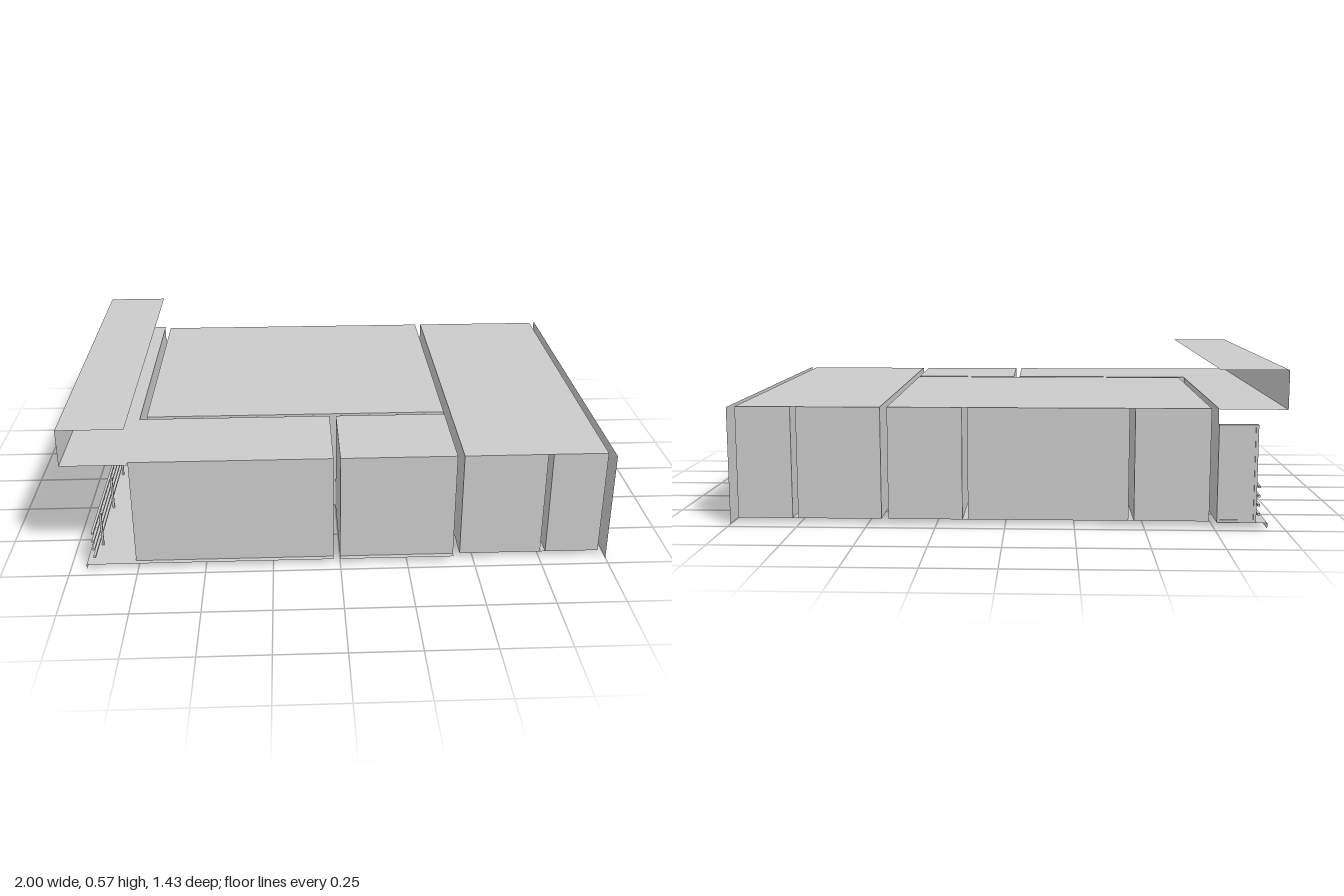
import * as THREE from 'three';

const mat = new THREE.MeshStandardMaterial({ color: 0xcccccc, side: THREE.DoubleSide, flatShading: true });
const FLOOR = 0.02, ROOF = 0.43;

// Thin sheet [a0,a1,b0,b1] with rectangular holes, perpendicular to an axis at a position.
// axis x: (a,b) = (z,y); axis y: (a,b) = (x,z); axis z: (a,b) = (x,y)
function sheet(parent, name, axis, pos, rect, holes = []) {
  const outline = (Type, [a0, a1, b0, b1]) => {
    const p = new Type();
    p.moveTo(a0, b0); p.lineTo(a1, b0); p.lineTo(a1, b1); p.lineTo(a0, b1); p.closePath();
    return p;
  };
  const shape = outline(THREE.Shape, rect);
  shape.holes = holes.map(h => outline(THREE.Path, h));
  const g = new THREE.ShapeGeometry(shape);
  if (axis === 'x') g.rotateY(-Math.PI / 2).translate(pos, 0, 0);
  else if (axis === 'y') g.rotateX(Math.PI / 2).translate(0, pos, 0);
  else g.translate(0, 0, pos);
  const m = new THREE.Mesh(g, mat);
  m.name = name;
  parent.add(m);
}

function box(parent, name, x0, x1, y0, y1, z0, z1) {
  const g = new THREE.BoxGeometry(x1 - x0, y1 - y0, z1 - z0);
  g.translate((x0 + x1) / 2, (y0 + y1) / 2, (z0 + z1) / 2);
  const m = new THREE.Mesh(g, mat);
  m.name = name;
  parent.add(m);
}

// Wall along x, interrupted by narrow slots
function slottedWall(parent, name, z, x0, x1, slots, holes = []) {
  let start = x0;
  for (const [s0, s1] of [...slots, [x1, x1]]) {
    sheet(parent, name, 'z', z, [start, s0, FLOOR, ROOF], holes.filter(h => h[0] > start && h[1] < s0));
    start = s1;
  }
}

// Hollow partition: two faces and an inner end cap, open to the outside
function partition(parent, x0, x1, zOuter, zInner) {
  const span = [Math.min(zOuter, zInner), Math.max(zOuter, zInner), FLOOR, ROOF];
  sheet(parent, 'partitionFace', 'x', x0, span);
  sheet(parent, 'partitionFace', 'x', x1, span);
  sheet(parent, 'partitionEnd', 'z', zInner, [x0, x1, FLOOR, ROOF]);
}

// Room shell from floor, ceiling and four walls
function room(parent, name, [x0, x1, z0, z1], o = {}) {
  const g = new THREE.Group();
  g.name = name;
  sheet(g, 'floor', 'y', FLOOR, [x0, x1, z0, z1], o.floor);
  sheet(g, 'roof', 'y', ROOF, [x0, x1, z0, z1]);
  sheet(g, 'leftWall', 'x', x1, [z0, z1, FLOOR, ROOF], o.left);
  sheet(g, 'rightWall', 'x', x0, [z0, z1, FLOOR, ROOF], o.right);
  slottedWall(g, 'frontWall', z1, x0, x1, o.frontSlots || [], o.front);
  slottedWall(g, 'backWall', z0, x0, x1, o.backSlots || [], o.back);
  parent.add(g);
  return g;
}

// Lining between the two faces of a wall opening perpendicular to x
function reveal(parent, x0, x1, [z0, z1, y0, y1]) {
  for (const z of [z0, z1]) sheet(parent, 'openingJamb', 'z', z, [x0, x1, y0, y1]);
  for (const y of [y0, y1]) sheet(parent, 'openingLining', 'y', y, [x0, x1, z0, z1]);
}

export function createModel() {
  const model = new THREE.Group();
  model.name = 'apartment';

  // Openings, as [z0, z1, y0, y1]
  const entry = [-0.43, -0.14, 0.021, 0.29];
  const hallDoor = [-0.405, -0.14, 0.021, 0.29];
  const window1 = [-0.405, 0.22, 0.085, 0.33];
  const window2 = [0.36, 0.66, 0.085, 0.33];

  // Main living room
  const mainBackSlots = [[-0.465, -0.445], [0.135, 0.155]];
  const living = room(model, 'livingRoom', [-0.735, 0.425, -0.695, 0.305], {
    left: [hallDoor], right: [window1], backSlots: mainBackSlots,
    front: [[-0.4, -0.2, 0.021, 0.33], [0.12, 0.3, 0.021, 0.33]],
  });
  mainBackSlots.forEach(([a, b]) => partition(living, a, b, -0.695, -0.43));

  // Entrance wing with hall
  const wing = room(model, 'entranceWing', [0.45, 0.975, -0.695, 0.69], {
    left: [entry], right: [hallDoor],
    floor: [[0.735, 0.974, -0.43, -0.14]],
    frontSlots: [[0.755, 0.775]], backSlots: [[0.755, 0.775]],
  });
  partition(wing, 0.755, 0.775, 0.69, -0.115);
  partition(wing, 0.755, 0.775, -0.695, -0.43);
  sheet(wing, 'hallWall', 'z', -0.115, [0.45, 0.755, FLOOR, ROOF], [[0.52, 0.68, 0.021, 0.29]]);
  sheet(wing, 'hallWall', 'z', -0.115, [0.775, 0.975, FLOOR, ROOF]);
  sheet(wing, 'closetWall', 'z', -0.43, [0.775, 0.975, FLOOR, ROOF]);

  // Sunken entry floor
  sheet(wing, 'entryFloor', 'y', 0.005, [0.735, 0.975, -0.43, -0.14]);
  for (const z of [-0.43, -0.14]) sheet(wing, 'entryStep', 'z', z, [0.735, 0.975, 0.005, FLOOR]);
  for (const x of [0.735, 0.975]) sheet(wing, 'entryStep', 'x', x, [-0.43, -0.14, 0.005, FLOOR]);

  // Two front rooms with a sill along the foot of the wall
  room(model, 'cornerRoom', [-0.76, -0.025, 0.325, 0.69], {
    right: [window2], back: [[-0.4, -0.2, 0.021, 0.33]],
  });
  room(model, 'smallRoom', [0, 0.425, 0.325, 0.69], { back: [[0.12, 0.3, 0.021, 0.33]] });
  for (const [a, b] of [[-0.76, -0.025], [0, 0.425]]) sheet(model, 'frontSill', 'y', FLOOR, [a, b, 0.69, 0.71]);

  // Outer wall on the entrance side
  const outerEntry = [-0.43, -0.14, 0.013, 0.29];
  sheet(model, 'entranceFacade', 'x', 1, [-0.715, 0.715, 0, ROOF], [outerEntry]);
  reveal(model, 0.975, 1, outerEntry);

  // Outer wall on the balcony side
  sheet(model, 'balconyFacade', 'x', -0.76, [-0.695, 0.305, FLOOR, ROOF], [window1]);
  reveal(model, -0.76, -0.735, window1);

  // Balcony floor, fascia and end screen
  const balcony = new THREE.Group();
  balcony.name = 'balcony';
  model.add(balcony);
  sheet(balcony, 'balconyFloor', 'y', FLOOR, [-0.94, -0.76, -0.715, 0.71]);
  sheet(balcony, 'balconyFascia', 'x', -0.94, [-0.715, 0.71, 0, FLOOR]);
  box(balcony, 'endScreen', -0.89, -0.77, 0.03, 0.365, -0.708, -0.698);
  for (const [a, b] of [[-0.9, -0.89], [-0.77, -0.76]]) box(balcony, 'screenUpright', a, b, FLOOR, 0.375, -0.712, -0.694);
  for (const y of [FLOOR, 0.365]) box(balcony, 'screenCrossbar', -0.89, -0.77, y, y + 0.01, -0.712, -0.694);

  // Railing
  for (const y of [0.048, 0.081, 0.114, 0.148]) box(balcony, 'railBar', -0.912, -0.903, y, y + 0.008, -0.715, 0.71);
  for (let i = -2; i <= 2; i++) box(balcony, 'railPost', -0.903, -0.895, FLOOR, 0.155, i * 0.285 - 0.004, i * 0.285 + 0.004);

  // Canopy: channel open towards the building
  const canopy = new THREE.Group();
  canopy.name = 'canopy';
  model.add(canopy);
  for (const y of [ROOF, 0.57]) sheet(canopy, 'canopySlab', 'y', y, [-1, -0.76, -0.715, 0.71]);
  sheet(canopy, 'canopyFront', 'x', -1, [-0.715, 0.71, ROOF, 0.57]);

  return model;
}
